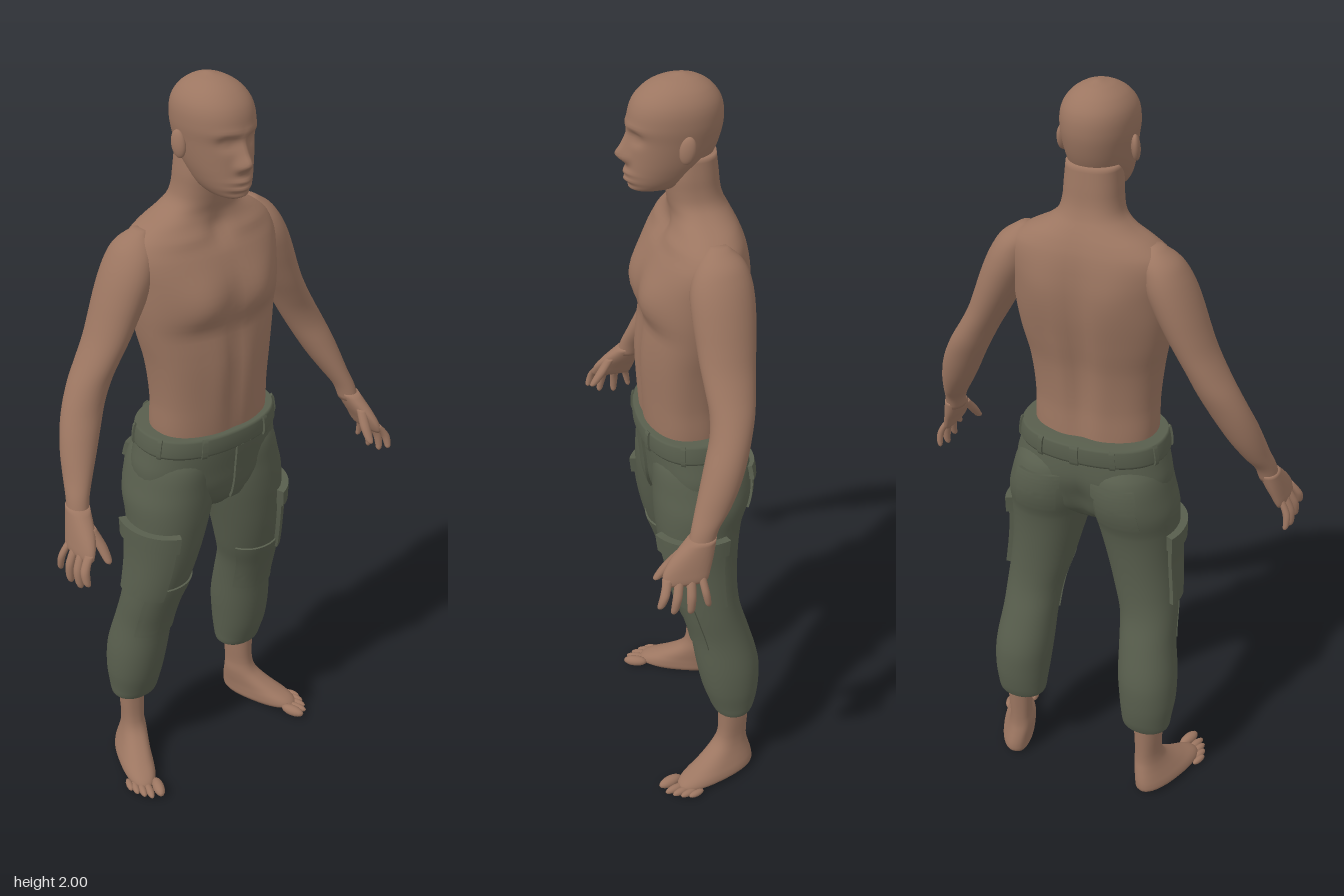
import * as THREE from 'three';
import { toCreasedNormals } from 'three/addons/utils/BufferGeometryUtils.js';

const skin = new THREE.MeshStandardMaterial({ color: 0x9c7661 });
skin.name = 'skin';
const cloth = new THREE.MeshStandardMaterial({ color: 0x585e4d });
cloth.name = 'olive cloth';

const g = (d, s) => Math.exp(-(d * d) / (2 * s * s));
const sgnPow = (v, e) => Math.sign(v) * Math.pow(Math.abs(v), e);

// Smooth surface through level rings [y, centreX, halfWidth, frontZ, backZ]; returns f(y, angle)
function surface(rings, { e = 1, s = 1, sculpt } = {}) {
  const slope = (k, c) => {
    const a = rings[Math.max(k - 1, 0)], b = rings[Math.min(k + 1, rings.length - 1)];
    return (b[c] - a[c]) / (b[0] - a[0]);
  };
  const f = (y, a) => {
    let k = 0;
    while (k < rings.length - 2 && y > rings[k + 1][0]) k++;
    const p = rings[k], q = rings[k + 1], h = q[0] - p[0], t = (y - p[0]) / h, t2 = t * t, t3 = t2 * t;
    const [cx, w, zf, zb] = [1, 2, 3, 4].map(c =>
      p[c] * (2 * t3 - 3 * t2 + 1) + q[c] * (3 * t2 - 2 * t3) +
      h * (slope(k, c) * (t3 - 2 * t2 + t) + slope(k + 1, c) * (t3 - t2)));
    const v = new THREE.Vector3(s * cx + w * sgnPow(Math.cos(a), e), y,
      (zf + zb) / 2 + (zf - zb) / 2 * sgnPow(Math.sin(a), e));
    if (sculpt) v.z += sculpt(v.x, y, Math.sin(a));
    return v;
  };
  f.levels = rings.map(r => r[0]);
  return f;
}

function indexed(points, index) {
  const geo = new THREE.BufferGeometry().setFromPoints(points);
  geo.setIndex(index);
  geo.computeVertexNormals();
  return geo;
}

// Closed body over a surface
function loft(f, n = 32, sub = 4) {
  const ys = [];
  f.levels.forEach((y, i) => {
    if (i) for (let k = 1; k <= sub; k++) ys.push(f.levels[i - 1] + (y - f.levels[i - 1]) * k / sub);
    else ys.push(y);
  });
  const pts = [], idx = [];
  for (const y of ys) for (let j = 0; j < n; j++) pts.push(f(y, j / n * Math.PI * 2));
  const last = (ys.length - 1) * n;
  const mid = y => f(y, 0).add(f(y, Math.PI)).add(f(y, Math.PI / 2)).add(f(y, -Math.PI / 2)).multiplyScalar(0.25);
  pts.push(mid(ys[0]), mid(ys[ys.length - 1]));
  for (let j = 0; j < n; j++) {
    const k = (j + 1) % n;
    for (let r = 0; r < last; r += n) idx.push(r + j, r + n + j, r + k, r + k, r + n + j, r + n + k);
    idx.push(last + n, j, k, last + n + 1, last + k, last + j);
  }
  return indexed(pts, idx);
}

// Raised cloth panel on a surface, its border sunk into it
function panel(f, a0, a1, y0, y1, rise) {
  const n = 14, pts = [], idx = [], E = 1e-3;
  const at = i => Math.min(Math.max((i - 1) / (n - 2), 0), 1);
  for (let i = 0; i <= n; i++) for (let j = 0; j <= n; j++) {
    const y = y0 + (y1 - y0) * at(i), a = a0 + (a1 - a0) * at(j), p = f(y, a);
    const normal = f(y + E, a).sub(p).cross(f(y, a + E).sub(p)).normalize();
    const rim = i === 0 || j === 0 || i === n || j === n;
    pts.push(p.addScaledVector(normal, rim ? -0.006 : rise));
    if (i < n && j < n) {
      const q = i * (n + 1) + j, u = q + n + 1;
      idx.push(q, u, q + 1, q + 1, u, u + 1);
    }
  }
  return toCreasedNormals(indexed(pts, idx), 0.7);
}

export function createModel() {
  const model = new THREE.Group();
  model.name = 'man';
  const add = (name, geo, mat, parent = model) => {
    const m = new THREE.Mesh(geo, mat);
    m.name = name;
    parent.add(m);
    return m;
  };

  // Torso and neck, with chest, stomach and back muscles
  const torso = surface([
    [1.08, 0, .16, .1, -.11], [1.13, 0, .163, .103, -.108], [1.2, 0, .163, .105, -.105],
    [1.3, 0, .174, .107, -.113], [1.38, 0, .19, .102, -.13], [1.45, 0, .2, .103, -.142],
    [1.52, 0, .205, .096, -.146], [1.58, 0, .21, .074, -.143], [1.62, 0, .198, .05, -.137],
    [1.65, 0, .16, .036, -.127], [1.675, 0, .112, .03, -.115], [1.7, 0, .083, .033, -.101],
    [1.73, 0, .073, .037, -.091], [1.77, 0, .07, .04, -.086], [1.82, 0, .065, .03, -.08]
  ], { e: .86, sculpt: (x, y, side) => {
    const ax = Math.abs(x);
    if (side > 0) return side * (.02 * g(ax - .085, .05) * g(y - 1.475, .045)
      - .009 * g(ax - .09, .06) * g(y - 1.405, .02) - .006 * g(x, .012) * g(y - 1.28, .1)
      + .006 * g(ax - .045, .025) * g(y - 1.25, .09) - .012 * g(x, .02) * g(y - 1.635, .02)
      + .006 * g(ax - .1, .05) * g(y - 1.625, .012));
    return -side * (.016 * g(x, .022) * g(y - 1.35, .17)
      - .01 * g(ax - .1, .045) * g(y - 1.53, .06) - .005 * g(ax - .05, .025) * g(y - 1.25, .1));
  } });
  add('torso', loft(torso, 72), skin);

  // Head with a sculpted face
  const head = surface([
    [1.732, 0, .026, .112, .04], [1.74, 0, .042, .126, .005], [1.76, 0, .057, .13, -.03],
    [1.79, 0, .069, .128, -.055], [1.82, 0, .077, .126, -.075], [1.86, 0, .084, .124, -.09],
    [1.9, 0, .089, .125, -.097], [1.94, 0, .085, .114, -.092], [1.97, 0, .067, .088, -.072],
    [1.99, 0, .038, .052, -.042], [2, 0, .006, .01, -.008]
  ], { e: .95, sculpt: (x, y, side) => {
    if (side <= 0) return 0;
    const ax = Math.abs(x);
    return .026 * g(x, .011) * g(y - 1.822, .013) + .012 * g(x, .01) * g(y - 1.85, .016)
      + .008 * g(ax - .015, .007) * g(y - 1.813, .008) - .014 * g(ax - .034, .014) * g(y - 1.869, .011)
      + .006 * g(ax - .034, .009) * g(y - 1.868, .006) + .005 * g(ax - .03, .025) * g(y - 1.889, .007)
      + .008 * g(x, .02) * g(y - 1.777, .006) + .007 * g(x, .018) * g(y - 1.76, .006)
      - .005 * g(x, .024) * g(y - 1.769, .003) - .006 * g(x, .03) * g(y - 1.75, .005);
  } });
  add('head', loft(head, 96, 6), skin);

  // Trouser seat and waistband
  const seat = surface([
    [.86, 0, .05, .05, -.09], [.9, 0, .125, .085, -.125], [.95, 0, .198, .1, -.14],
    [1, 0, .21, .105, -.15], [1.05, 0, .2, .11, -.148], [1.09, 0, .19, .112, -.142]
  ], { e: .9, sculpt: (x, y, side) => side < 0 ? .025 * g(x, .02) * g(y - .92, .05) : 0 });
  add('trouserSeat', loft(seat, 48), cloth);
  const band = surface([[1.062, 0, .196, .115, -.148], [1.07, 0, .199, .12, -.152],
    [1.108, 0, .193, .12, -.152], [1.115, 0, .188, .115, -.147]], { e: .88 });
  add('waistband', loft(band, 48, 2), cloth);
  add('fly', panel(seat, 1.36, 1.57, .9, 1.066, .007), cloth);
  for (const a of [.35, 1.1, 2.04, 2.79, -.35, -1.1, -1.57, -2.04, -2.79])
    add('beltLoop', panel(band, a - .04, a + .04, 1.063, 1.113, .005), cloth);

  for (const s of [1, -1]) {
    const side = new THREE.Group();
    side.name = s > 0 ? 'leftSide' : 'rightSide';
    model.add(side);
    const body = (name, rings, mat, n, e = 1) => add(name, loft(surface(rings, { s, e }), n), mat, side);

    // Ear
    const ear = add('ear', new THREE.SphereGeometry(1, 20, 14), skin, side);
    ear.scale.set(.011, .033, .019);
    ear.position.set(s * .091, 1.852, .005);
    ear.rotation.set(-.2, s * -.35, 0);

    // Arm from wrist to shoulder
    body('arm', [
      [1.02, .447, .025, .085, .022], [1.06, .438, .027, .075, .008], [1.1, .421, .033, .062, -.022],
      [1.15, .4, .043, .045, -.05], [1.2, .379, .05, .028, -.07], [1.25, .356, .053, .012, -.086],
      [1.3, .33, .053, .007, -.1], [1.35, .302, .051, .012, -.108], [1.4, .274, .052, .018, -.114],
      [1.45, .25, .056, .022, -.12], [1.5, .228, .06, .026, -.124], [1.55, .207, .061, .026, -.124],
      [1.59, .193, .054, .016, -.117], [1.62, .18, .044, -.002, -.102], [1.648, .168, .014, -.03, -.07]
    ], skin, 32);

    // Hand: palm, four fingers and a thumb
    body('palm', [[.935, .479, .009, .148, .048], [.945, .477, .016, .154, .042], [.97, .469, .02, .148, .034],
      [1, .458, .024, .126, .025], [1.04, .445, .026, .085, .016]], skin, 24, .9);
    const digit = (name, [bx, by, bz], [tx, ty, tz], r, bow) => {
      const at = (t, k) => {
        const x = tx + (bx - tx) * t + bow * Math.sin(Math.PI * t), z = tz + (bz - tz) * t;
        return [ty + (by - ty) * t, x, r * k, z + r * k, z - r * k];
      };
      body(name, [at(0, .25), at(.06, .65), at(.2, .85), at(.5, 1), at(.75, 1), at(1, 1.05)], skin, 12);
    };
    [[.14, .888, .165], [.112, .866, .132], [.085, .86, .09], [.06, .874, .046]].forEach(([bz, ty, tz], i) =>
      digit('finger', [.475, .958, bz], [.5, ty, tz], i === 3 ? .0095 : .0115, .012));
    digit('thumb', [.449, 1.005, .105], [.436, .925, .162], .0135, -.004);

    // Trouser leg
    const leg = surface([
      [.222, .19, .058, -.055, -.15], [.23, .19, .066, -.047, -.157], [.26, .19, .07, -.035, -.166],
      [.32, .19, .077, -.016, -.173], [.4, .185, .08, 0, -.171], [.5, .175, .076, .015, -.145],
      [.58, .168, .078, .037, -.122], [.65, .155, .085, .06, -.115], [.75, .138, .094, .083, -.118],
      [.85, .124, .107, .096, -.13], [.91, .116, .114, .099, -.15], [.96, .109, .109, .098, -.158],
      [1.02, .1, .1, .095, -.15], [1.06, .095, .08, .08, -.12]
    ], { s, e: .95 });
    add('trouserLeg', loft(leg, 40), cloth, side);

    // Pockets and knee patch
    const patch = (name, a0, a1, y0, y1, rise) =>
      add(name, s > 0 ? panel(leg, a0, a1, y0, y1, rise) : panel(leg, Math.PI - a1, Math.PI - a0, y0, y1, rise), cloth, side);
    patch('cargoPocket', -.4, 1.15, .63, .81, .012);
    patch('cargoPocketFlap', -.45, 1.2, .8, .848, .02);
    patch('kneePatch', .6, 2.6, .485, .66, .005);
    patch('backPocket', -2.05, -1.1, .895, .99, .006);
    patch('backPocketFlap', -2.1, -1.05, .975, 1.01, .012);

    // Bare foot, turned outward
    const foot = new THREE.Group();
    foot.name = 'foot';
    foot.position.set(s * .2, 0, -.1);
    foot.rotation.y = s * .35;
    side.add(foot);
    add('footAndAnkle', loft(surface([
      [0, .012, .034, .165, -.045], [.012, .015, .045, .185, -.055], [.03, .014, .045, .172, -.057],
      [.05, .01, .041, .13, -.055], [.075, .004, .037, .085, -.05], [.1, 0, .034, .054, -.045],
      [.13, 0, .031, .041, -.044], [.18, 0, .033, .038, -.046], [.26, 0, .036, .04, -.05]
    ], { s, e: .85 }), 36), skin, foot);
    [[-.015, .196, .016, .036], [.011, .196, .011, .032], [.029, .186, .0105, .029],
      [.045, .172, .01, .026], [.058, .155, .0095, .024]].forEach(([x, z, r, len]) => {
      const toe = add('toe', new THREE.SphereGeometry(1, 14, 10), skin, foot);
      toe.scale.set(r, r, len);
      toe.position.set(s * x, r, z);
    });
  }
  return model;
}
